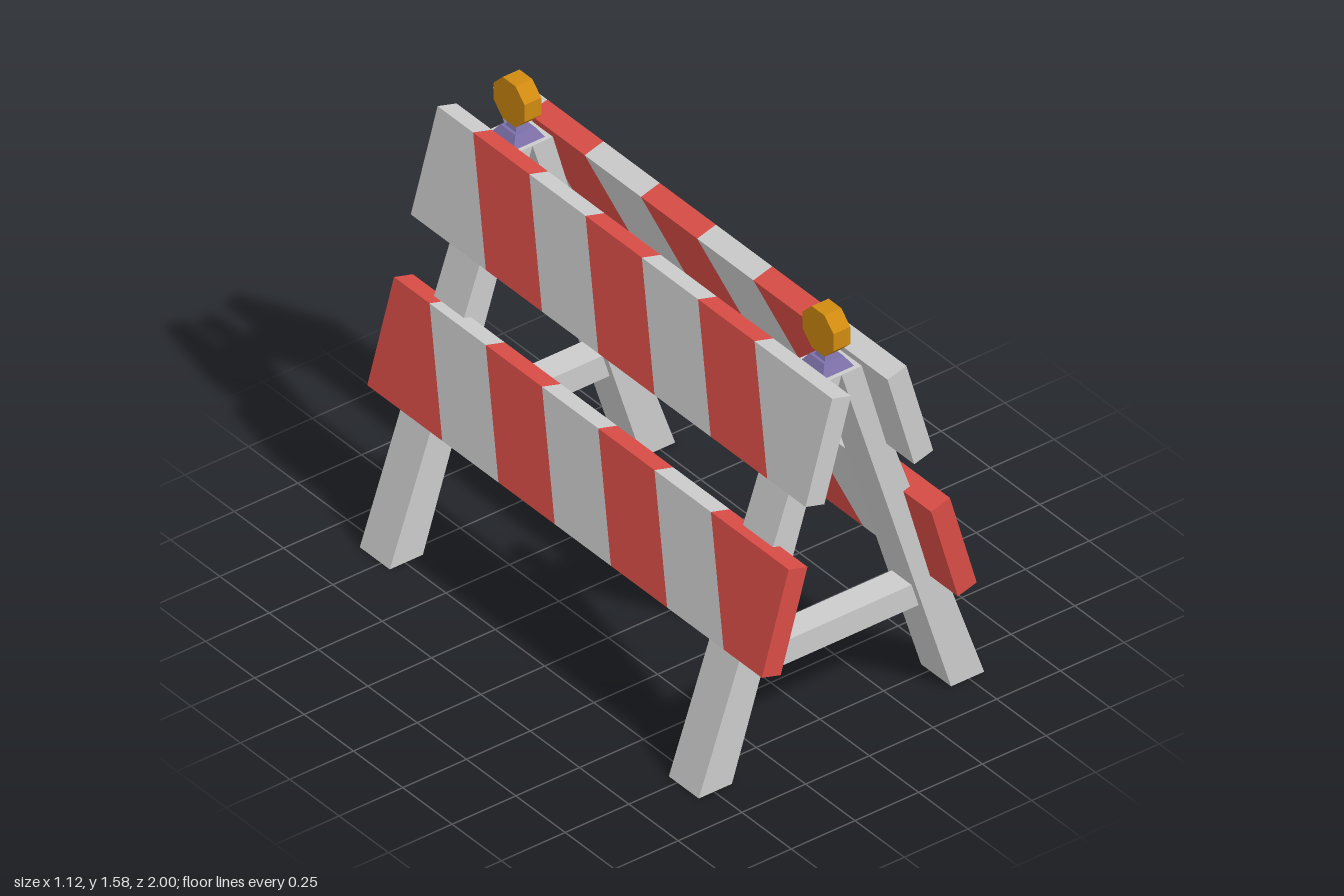
import * as THREE from 'three';

const mat = (name, color) => {
  const m = new THREE.MeshStandardMaterial({ color });
  m.name = name;
  return m;
};

export function createModel() {
  const grey = mat('light grey', 0xcbcbcb);
  const red = mat('red', 0xd84c46);
  const amber = mat('amber', 0xd08a10);
  const purple = mat('dusty purple', 0x7c70a8);
  const model = new THREE.Group();
  model.name = 'barricade';

  const add = (parent, name, geometry, material) => {
    const flat = geometry.index ? geometry.toNonIndexed() : geometry;
    flat.computeVertexNormals(); // crisp faceted sides
    const mesh = new THREE.Mesh(flat, material);
    mesh.name = name;
    parent.add(mesh);
    return mesh;
  };
  // Flat outline extruded to a thickness centred on its own plane
  const slab = (points, depth) => {
    const shape = new THREE.Shape(points.map(([x, y]) => new THREE.Vector2(x, y)));
    return new THREE.ExtrudeGeometry(shape, { depth, bevelEnabled: false }).translate(0, 0, -depth / 2);
  };

  // Striped boards: slanted segments of alternating colour along z
  const tilt = 0.28, height = 0.38, thickness = 0.077, slant = 0.2;
  const cuts = [0.606, 0.32, 0.035, -0.25, -0.535, -0.82];
  const tops = [1, ...cuts, -1];
  const bottoms = [1, ...cuts.map((z) => z + slant), -1];
  const addBoard = (name, side, x, y, colours) => {
    const board = new THREE.Group();
    board.name = name;
    for (let i = 0; i < tops.length - 1; i++) {
      const h = height / 2;
      const geo = slab([
        [-bottoms[i], -h], [-bottoms[i + 1], -h], [-tops[i + 1], h], [-tops[i], h],
      ], thickness);
      geo.rotateY(Math.PI / 2).rotateZ(side * tilt).translate(side * x, y, 0);
      add(board, 'boardStripe', geo, colours[i % 2]);
    }
    model.add(board);
  };
  for (const side of [-1, 1]) {
    addBoard('upperBoard', side, 0.161, 1.222, [grey, red]);
    addBoard('lowerBoard', side, 0.332, 0.648, [red, grey]);
  }

  // A-shaped end frames, each topped by a warning lamp
  for (const z of [-0.783, 0.783]) {
    const frame = new THREE.Group();
    frame.name = 'endFrame';
    frame.position.z = z;
    model.add(frame);

    for (const s of [-1, 1]) {
      add(frame, 'leg', slab([[s * 0.43, 0], [s * 0.56, 0], [s * 0.08, 1.365], [0, 1.365]], 0.152), grey);
    }
    add(frame, 'crossbar', slab([[-0.325, 0.34], [0.325, 0.34], [0.295, 0.428], [-0.295, 0.428]], 0.1), grey);

    // Square lamp mount in two tapering steps
    const taper = (top, bottom, y0, y1) =>
      new THREE.CylinderGeometry(top * Math.SQRT2, bottom * Math.SQRT2, y1 - y0, 4)
        .rotateY(Math.PI / 4).translate(0, (y0 + y1) / 2, 0);
    add(frame, 'lampMount', taper(0.038, 0.061, 1.365, 1.4), purple);
    add(frame, 'lampNeck', taper(0.012, 0.027, 1.4, 1.435), purple);

    // Octagonal lamp facing sideways
    const lamp = new THREE.CylinderGeometry(0.0845, 0.0845, 0.066, 8)
      .rotateY(Math.PI / 8).rotateZ(Math.PI / 2).translate(0, 1.502, 0);
    add(frame, 'lamp', lamp, amber);
  }
  return model;
}
